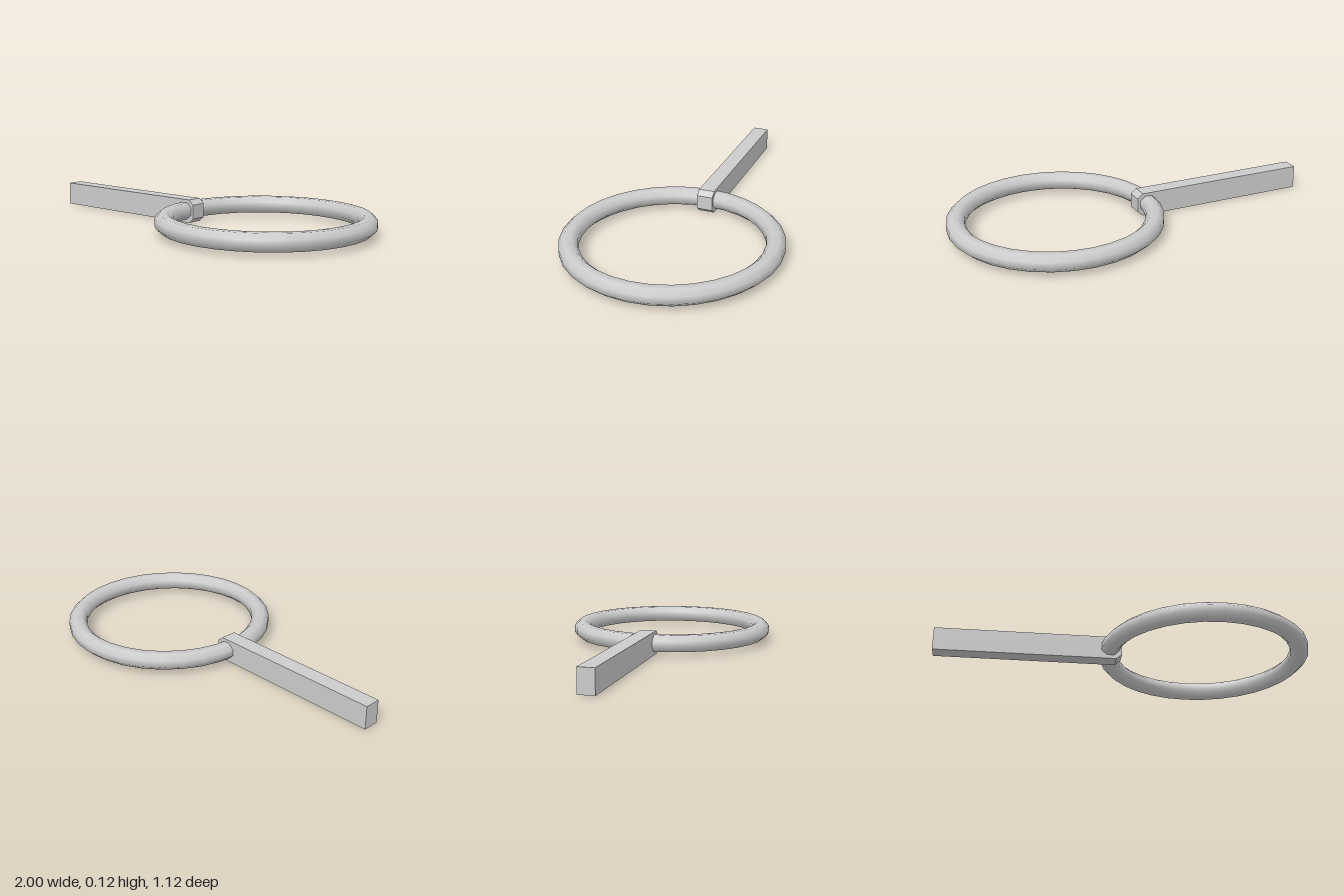
import * as THREE from 'three';
import { mergeVertices } from 'three/addons/utils/BufferGeometryUtils.js';

const material = new THREE.MeshStandardMaterial({ color: 0xcccccc });

// Ring with an eight-sided section, flat on top, bottom, inside and outside
function createRing() {
  const section = [];
  const k = 1 / Math.cos(Math.PI / 8);
  for (let i = 0; i <= 8; i++) {
    const a = ((i % 8) + 0.5) * Math.PI / 4;
    section.push(new THREE.Vector2(0.513 + 0.047 * k * Math.cos(a), 0.044 * k * Math.sin(a)));
  }
  let geometry = new THREE.LatheGeometry(section, 32);
  // Weld the seams so the ring shades smoothly all round
  geometry.deleteAttribute('uv');
  geometry.deleteAttribute('normal');
  geometry = mergeVertices(geometry, 1e-4);
  geometry.computeVertexNormals();
  const ring = new THREE.Mesh(geometry, material);
  ring.name = 'ring';
  ring.position.set(0.437, 0.064, 0);
  return ring;
}

// Straight bar whose inner end has its top and bottom corners cut off
function createBar() {
  const width = 0.086;
  const outline = new THREE.Shape([
    [-1, 0], [-0.04, 0], [-0.01, 0.025], [-0.01, 0.1], [-0.04, 0.125], [-1, 0.125],
  ].map(([x, y]) => new THREE.Vector2(x, y)));
  const geometry = new THREE.ExtrudeGeometry(outline, { depth: width, bevelEnabled: false });
  geometry.translate(0, 0, -width / 2);
  const bar = new THREE.Mesh(geometry, material);
  bar.name = 'bar';
  return bar;
}

export function createModel() {
  const model = new THREE.Group();
  model.name = 'ringOnBar';
  model.add(createRing(), createBar());
  return model;
}
